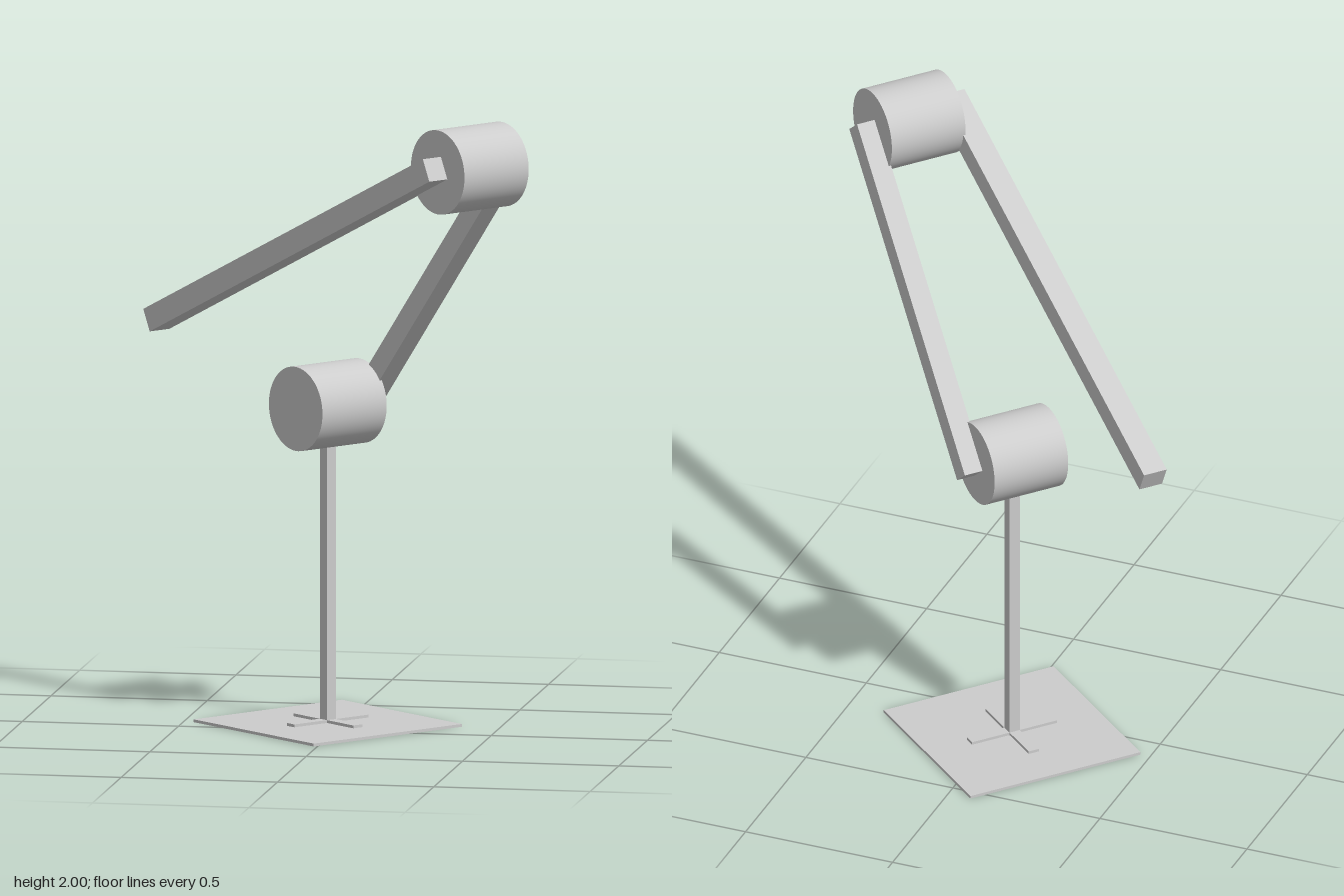
import * as THREE from 'three';

export function createModel() {
  const model = new THREE.Group();
  model.name = 'jointedArm';
  const grey = new THREE.MeshStandardMaterial({ color: 0xcccccc });
  grey.name = 'lightGrey';

  // Everything is laid out in the arm's own plane, then turned about y
  const rig = new THREE.Group();
  rig.name = 'rig';
  rig.position.set(-0.044, 0, -0.117);
  rig.rotation.y = THREE.MathUtils.degToRad(-40.6);
  model.add(rig);

  const add = (name, geometry, x, y, z) => {
    const mesh = new THREE.Mesh(geometry, grey);
    mesh.name = name;
    mesh.position.set(x, y, z);
    rig.add(mesh);
    return mesh;
  };
  const box = (name, w, h, d, x, y, z, tilt = 0) => {
    add(name, new THREE.BoxGeometry(w, h, d), x, y, z).rotation.z = THREE.MathUtils.degToRad(tilt);
  };
  const joint = (name, x, y) => {
    add(name, new THREE.CylinderGeometry(0.134, 0.134, 0.26, 64), x, y, 0).rotation.x = Math.PI / 2;
  };

  // Base plate with crossed feet and a square post
  box('basePlate', 0.6, 0.009, 0.6, 0, 0.0045, 0);
  box('footAlong', 0.3, 0.014, 0.036, 0, 0.011, 0);
  box('footAcross', 0.036, 0.014, 0.3, 0, 0.011, 0);
  box('post', 0.036, 0.95, 0.036, 0, 0.48, 0);

  // Two drum joints with their axes across the arm plane
  joint('lowerJoint', 0, 1.02);
  joint('upperJoint', 0.71, 1.866);

  // Arms on opposite sides of the joints
  box('lowerArm', 1.162, 0.07, 0.07, 0.35, 1.442, -0.157, 50.1);
  box('upperArm', 1.545, 0.075, 0.08, 0.043, 1.555, 0.163, 25.2);

  return model;
}
